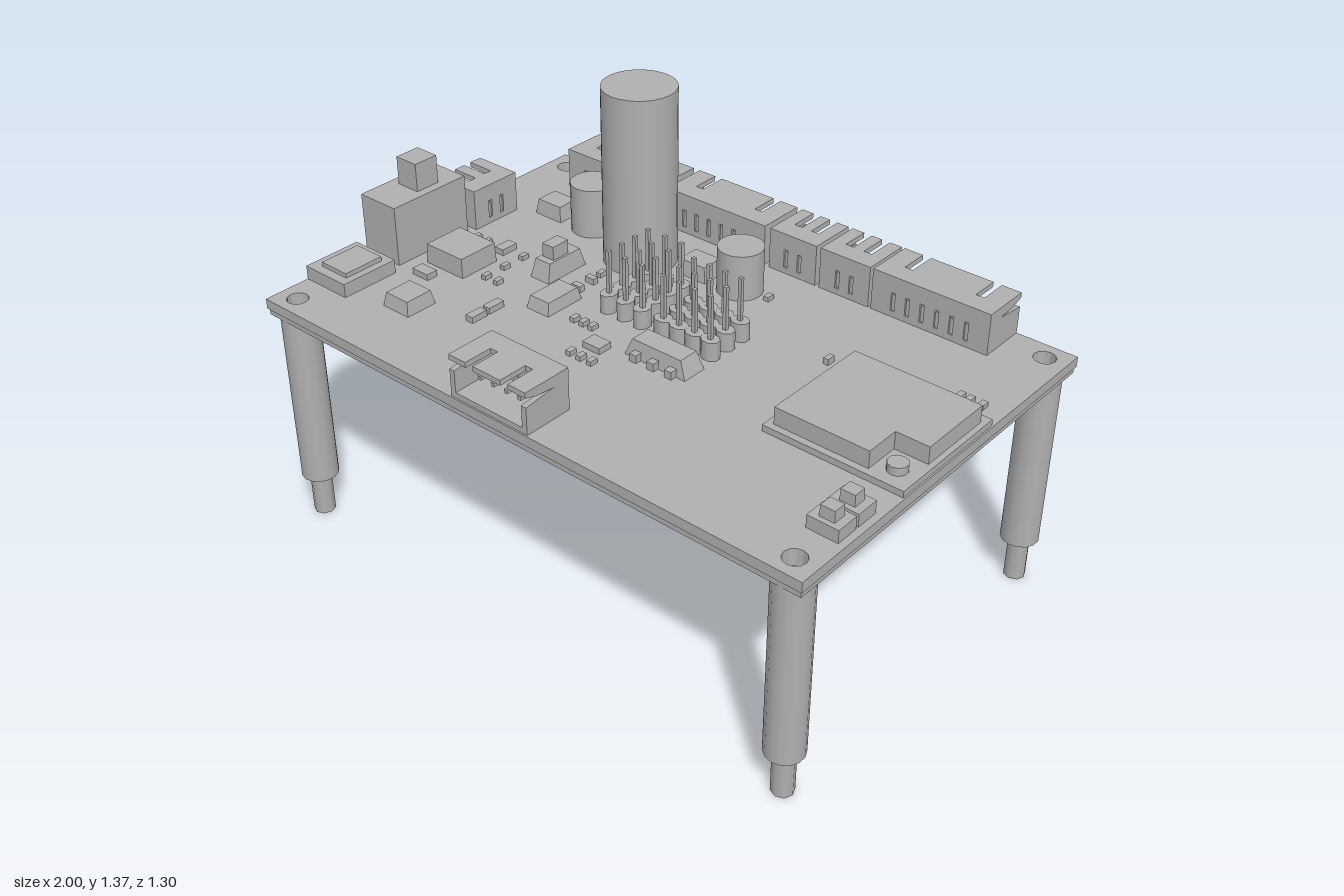
import * as THREE from 'three';

const grey = new THREE.MeshStandardMaterial({ color: 0xb0b0b0, side: THREE.DoubleSide });
grey.name = 'grey';
const TOP = 0.785; // upper face of the board

function add(parent, name, geo, x = 0, y = 0, z = 0) {
  const m = new THREE.Mesh(geo, grey);
  m.name = name;
  m.position.set(x, y, z);
  parent.add(m);
  return m;
}

// Box given by its limits on each axis
function box(parent, name, x0, x1, y0, y1, z0, z1) {
  return add(parent, name, new THREE.BoxGeometry(x1 - x0, y1 - y0, z1 - z0),
    (x0 + x1) / 2, (y0 + y1) / 2, (z0 + z1) / 2);
}

function cylinder(parent, name, r, y0, y1, x, z, sides = 24) {
  return add(parent, name, new THREE.CylinderGeometry(r, r, y1 - y0, sides), x, (y0 + y1) / 2, z);
}

function polygon(points) {
  return new THREE.Shape(points.map(p => new THREE.Vector2(p[0], p[1])));
}

function extrude(shape, depth) {
  return new THREE.ExtrudeGeometry(shape, { depth, bevelEnabled: false, curveSegments: 6 });
}

// Board layer with four mounting holes
function boardLayer(parent, name, hx, hz, y0, y1) {
  const s = polygon([[-hx, -hz], [hx, -hz], [hx, hz], [-hx, hz]]);
  for (const x of [-0.93, 0.93]) for (const z of [-0.586, 0.586]) {
    const hole = new THREE.Path();
    hole.absarc(x, z, 0.034, 0, Math.PI * 2, true);
    s.holes.push(hole);
  }
  const g = extrude(s, y1 - y0);
  g.rotateX(-Math.PI / 2);
  add(parent, name, g, 0, y0, 0);
}

// Side-entry socket: closed wall at local z = 0, mouth towards -z
function socket(parent, name, w, x, z, turn = 0) {
  const c = new THREE.Group();
  c.name = name;
  const d = 0.163, h = 0.135, t = 0.018, n = Math.max(2, Math.round((w - 0.08) / 0.05));
  const pinX = i => (i - (n - 1) / 2) * 0.05;
  box(c, 'socketFloor', -w / 2, w / 2, 0, t, -d, 0);
  // Rear wall with a slot for every pin
  const wall = polygon([[-w / 2, 0], [w / 2, 0], [w / 2, h], [-w / 2, h]]);
  for (let i = 0; i < n; i++) {
    const p = pinX(i);
    wall.holes.push(polygon([[p - 0.007, 0.02], [p - 0.007, 0.08], [p + 0.007, 0.08], [p + 0.007, 0.02]]));
    box(c, 'socketPin', p - 0.006, p + 0.006, 0.06, 0.072, -0.12, -0.005);
    box(c, 'socketTail', p - 0.006, p + 0.006, -0.065, 0.06, -0.017, -0.005);
  }
  add(c, 'socketWall', extrude(wall, t), 0, 0, -t);
  // Notched side walls
  const side = polygon([[0, 0], [d, 0], [d, 0.088], [0.055, 0.1], [0.12, 0.105], [d, 0.118], [d, h], [0, h]]);
  const sg = extrude(side, t);
  sg.rotateY(Math.PI / 2);
  add(c, 'socketSide', sg, -w / 2, 0, 0);
  add(c, 'socketSide', sg, w / 2 - t, 0, 0);
  // Roof with two latch slots
  const a = w / 2 - Math.min(0.065, w * 0.24), b = a - 0.028, m = d - 0.095;
  const roof = polygon([[-w / 2, 0], [w / 2, 0], [w / 2, d], [a, d], [a, m], [b, m], [b, d],
    [-b, d], [-b, m], [-a, m], [-a, d], [-w / 2, d]]);
  const rg = extrude(roof, 0.017);
  rg.rotateX(-Math.PI / 2);
  add(c, 'socketRoof', rg, 0, h - 0.017, 0);
  c.position.set(x, TOP, z);
  c.rotation.y = turn;
  parent.add(c);
}

// Four-pin header strip
function header(parent, x, z, turn) {
  const g = new THREE.Group();
  g.name = 'pinHeader';
  for (let i = 0; i < 4; i++) {
    const p = (i - 1.5) * 0.058;
    add(g, 'headerBlock', new THREE.CylinderGeometry(0.036, 0.036, 0.06, 8).rotateY(Math.PI / 8)
      .scale(0.87, 1, 0.72), p, TOP + 0.03, 0);
    box(g, 'headerPin', p - 0.006, p + 0.006, 0.722, 0.985, -0.006, 0.006);
  }
  g.position.set(x, 0, z);
  g.rotation.y = turn;
  parent.add(g);
}

// Chip body with a smaller top
function chip(parent, name, x0, x1, z0, z1, h, taper = 0.85) {
  const g = new THREE.BoxGeometry(x1 - x0, h, z1 - z0), p = g.attributes.position;
  for (let i = 0; i < p.count; i++) if (p.getY(i) > 0) {
    p.setX(i, p.getX(i) * taper);
    p.setZ(i, p.getZ(i) * taper);
  }
  g.computeVertexNormals();
  add(parent, name, g, (x0 + x1) / 2, TOP + h / 2, (z0 + z1) / 2);
}

export function createModel() {
  const model = new THREE.Group();
  model.name = 'circuitBoard';

  boardLayer(model, 'boardTop', 1, 0.65, 0.752, TOP);
  boardLayer(model, 'boardBottom', 0.995, 0.645, 0.732, 0.752);

  // Standoff legs
  for (const x of [-0.93, 0.93]) for (const z of [-0.586, 0.586]) {
    cylinder(model, 'leg', 0.059, 0.145, 0.732, x, z, 14);
    cylinder(model, 'legStud', 0.034, 0, 0.145, x, z, 8);
  }

  // Sockets along the back, front and right edges
  for (const [a, b] of [[-0.825, -0.42], [-0.395, 0], [0.02, 0.195], [0.21, 0.39], [0.4, 0.8]])
    socket(model, 'backSocket', b - a, (a + b) / 2, -0.487);
  socket(model, 'frontSocket', 0.29, -0.055, 0.482, Math.PI);
  socket(model, 'sideSocket', 0.185, -0.837, -0.157, Math.PI / 2);

  // Capacitors
  cylinder(model, 'tallCapacitor', 0.116, TOP, 1.365, -0.317, -0.27, 28);
  cylinder(model, 'smallCapacitor', 0.072, TOP, 0.95, -0.563, -0.322);
  cylinder(model, 'smallCapacitor', 0.072, TOP, 0.935, 0.037, -0.322);
  cylinder(model, 'capacitorLead', 0.008, 0.67, 0.74, -0.57, -0.345, 6);

  // Slide switch
  box(model, 'switchBody', -1, -0.85, TOP, 0.982, -0.04, 0.253);
  box(model, 'switchKnob', -0.965, -0.88, 0.982, 1.075, 0.043, 0.13);
  for (const z of [0, 0.11, 0.22]) box(model, 'switchLead', -0.94, -0.92, 0.67, 0.74, z - 0.008, z + 0.008);

  // Pin headers
  for (const x of [-0.18, -0.115, -0.05]) header(model, x, -0.063, Math.PI / 2);
  for (const z of [-0.105, -0.038, 0.029]) header(model, 0.122, z, 0);

  // Radio module with a notched cover
  box(model, 'moduleBase', 0.545, 0.995, TOP, 0.805, -0.198, 0.222);
  const cover = polygon([[0.567, -0.2], [0.872, -0.2], [0.872, -0.085], [0.978, -0.085], [0.978, 0.165], [0.567, 0.165]]);
  const cg = extrude(cover, 0.055);
  cg.rotateX(-Math.PI / 2);
  add(model, 'moduleCover', cg, 0, 0.805, 0);
  cylinder(model, 'antennaPort', 0.03, 0.805, 0.83, 0.93, 0.155, 10);

  // Data port on the right edge
  box(model, 'portShell', -1, -0.825, TOP, 0.83, 0.29, 0.49);
  box(model, 'portRidge', -0.96, -0.85, 0.83, 0.845, 0.32, 0.46);

  // Chips and coils
  chip(model, 'coil', -0.775, -0.665, -0.365, -0.275, 0.05);
  chip(model, 'coil', -0.175, -0.062, -0.365, -0.275, 0.05);
  chip(model, 'processor', -0.8, -0.642, 0.037, 0.182, 0.065, 0.97);
  chip(model, 'regulator', -0.705, -0.598, 0.335, 0.445, 0.045);
  chip(model, 'transistor', -0.495, -0.42, -0.13, 0.035, 0.06, 0.8);
  box(model, 'transistorCap', -0.48, -0.435, 0.84, 0.89, -0.07, -0.005);
  chip(model, 'driver', -0.375, -0.287, 0.03, 0.175, 0.04);
  chip(model, 'oscillator', 0.015, 0.238, 0.09, 0.175, 0.055, 0.8);
  for (const s of [0.05, 0.115, 0.18]) box(model, 'oscillatorLead', s + 0.0, s + 0.025, TOP, 0.81, 0.17, 0.195);
  for (const z of [0.318, 0.402]) {
    box(model, 'buttonBase', 0.88, 0.978, TOP, 0.825, z, z + 0.075);
    chip(model, 'buttonTop', 0.905, 0.955, z + 0.015, z + 0.06, 0.075, 0.9);
  }

  // Tiny surface parts: x, z, width, depth
  const tiny = [[-0.747, 0.24, 0.065, 0.04], [-0.443, 0.245, 0.028, 0.06], [-0.443, 0.315, 0.028, 0.06],
    [-0.067, 0.203, 0.065, 0.05], [-0.668, -0.03, 0.035, 0.06], [-0.33, -0.06, 0.035, 0.02],
    [-0.33, 0, 0.035, 0.02], [0.482, -0.165, 0.018, 0.03]];
  for (const [x, z, w, d] of tiny) box(model, 'tinyPart', x - w / 2, x + w / 2, TOP, 0.805, z - d / 2, z + d / 2);
  const specks = [[-0.79, -0.025], [-0.745, -0.025], [-0.59, 0.05], [-0.59, 0.13], [-0.54, 0.13], [-0.59, -0.03],
    [-0.215, 0.135], [-0.18, 0.135], [-0.145, 0.135], [-0.1, 0.275], [-0.06, 0.275], [-0.02, 0.275],
    [-0.47, -0.33], [0.14, -0.33], [0.86, -0.255], [0.89, -0.255], [0.93, -0.255], [-0.335, -0.11]];
  for (const [x, z] of specks) box(model, 'speck', x - 0.009, x + 0.009, TOP, 0.8, z - 0.014, z + 0.014);

  return model;
}
